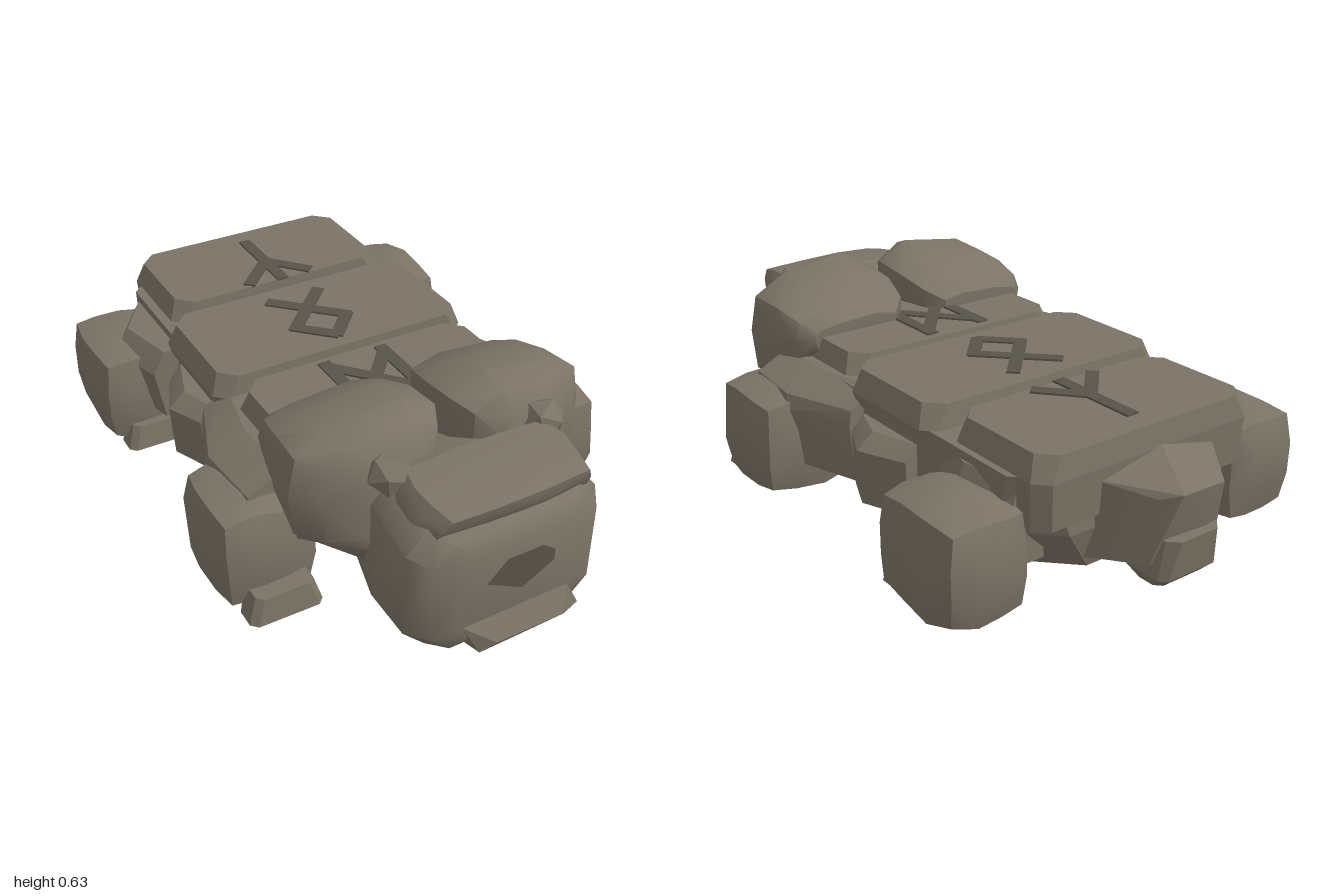
import * as THREE from 'three';
import { ConvexGeometry } from 'three/addons/geometries/ConvexGeometry.js';
import { toCreasedNormals } from 'three/addons/utils/BufferGeometryUtils.js';

export function createModel() {
  const root = new THREE.Group();
  root.name = 'stoneBeast';
  const stone = new THREE.MeshStandardMaterial({ color: 0x7b7366 });
  stone.name = 'stone';
  const carving = new THREE.MeshStandardMaterial({ color: 0x58544a });
  carving.name = 'darkCarving';
  const V = (x, y, z) => new THREE.Vector3(x, y, z);

  let seed = 7;
  const rand = () => ((seed = (seed * 16807) % 2147483647) / 2147483647) - 0.5;

  const add = (name, geometry, material = stone) => {
    const mesh = new THREE.Mesh(geometry, material);
    mesh.name = name;
    root.add(mesh);
    return mesh;
  };
  const hull = (name, points, crease = 0.3) =>
    add(name, toCreasedNormals(new ConvexGeometry(points), crease));

  // Octagonal section with cut corners, level at height y
  const level = (y, x0, x1, z0, z1, c) => [
    [x0 + c, z0], [x1 - c, z0], [x1, z0 + c], [x1, z1 - c],
    [x1 - c, z1], [x0 + c, z1], [x0, z1 - c], [x0, z0 + c],
  ].map(([x, z]) => V(x, y, z));
  // The same section, upright at depth z
  const upright = (z, x0, x1, y0, y1, c) =>
    level(0, x0, x1, y0, y1, c).map((p) => V(p.x, p.z, z));

  // Worn boulder filling the box from min to max; power sets how square it is
  function boulder(name, min, max, { power, jitter, rx = 0, crease = 0.55 }) {
    const pos = new THREE.BoxGeometry(2, 2, 2, 3, 3, 3).attributes.position;
    const turn = new THREE.Euler(rx, 0, 0);
    const unique = new Map();
    for (let i = 0; i < pos.count; i++) {
      const p = V(0, 0, 0).fromBufferAttribute(pos, i);
      const key = p.toArray().map((n) => n.toFixed(2)).join();
      if (unique.has(key)) continue;
      const n = (Math.abs(p.x) ** power + Math.abs(p.y) ** power + Math.abs(p.z) ** power) ** (1 / power);
      p.divideScalar(n).add(V(rand(), rand(), rand()).multiplyScalar(jitter)).applyEuler(turn);
      unique.set(key, p);
    }
    const points = [...unique.values()];
    const box = new THREE.Box3().setFromPoints(points);
    const size = box.getSize(V(0, 0, 0));
    const lo = V(...min), span = V(...max).sub(lo);
    points.forEach((p) => p.sub(box.min).divide(size).multiply(span).add(lo));
    return hull(name, points, crease);
  }

  // Trunk
  hull('body', [
    ...level(0.08, -0.38, 0.38, -0.76, 0.5, 0.2),
    ...level(0.22, -0.42, 0.42, -0.8, 0.64, 0.14),
    ...level(0.4, -0.41, 0.42, -0.79, 0.66, 0.08),
  ]);

  // Back plates: x0, x1, z0, z1, underside
  [
    ['rearPlate', -0.37, 0.39, -0.82, -0.43, 0.26],
    ['middlePlate', -0.43, 0.43, -0.39, 0.035, 0.36],
    ['frontPlate', -0.39, 0.39, 0.06, 0.46, 0.36],
  ].forEach(([name, x0, x1, z0, z1, y]) => hull(name, [
    ...level(y, x0, x1, z0 + 0.01, z1 - 0.01, 0.04),
    ...level(0.4, x0 - 0.01, x1 + 0.01, z0, z1, 0.04),
    ...level(0.47, x0 + 0.015, x1 - 0.015, z0 + 0.01, z1 - 0.005, 0.05),
  ], 0.2));

  // Runes: strokes as x, z start and end
  const runes = {
    rearRune: [[0.015, -0.73, 0.015, -0.44], [0.015, -0.57, -0.1, -0.45], [0.015, -0.57, 0.12, -0.45]],
    middleRune: [[-0.1, -0.31, 0.09, -0.12], [0.08, -0.31, -0.1, -0.12], [-0.1, -0.13, 0, -0.03], [0.09, -0.13, 0, -0.03]],
    frontRune: [[-0.115, 0.1, -0.115, 0.38], [0.08, 0.1, 0.08, 0.38], [-0.115, 0.12, 0.08, 0.35], [0.08, 0.12, -0.115, 0.35]],
  };
  for (const [name, strokes] of Object.entries(runes)) {
    strokes.forEach(([x0, z0, x1, z1]) => {
      const length = Math.hypot(x1 - x0, z1 - z0);
      const stroke = add(name, new THREE.BoxGeometry(0.04, 0.008, length + 0.015), carving);
      stroke.position.set((x0 + x1) / 2, 0.472, (z0 + z1) / 2);
      stroke.rotation.y = Math.atan2(x1 - x0, z1 - z0);
    });
  }

  // Shoulder boulder section: across from inner to outer edge, up from bottom to top
  const shoulderSection = [[0, 0.35], [0, 0.87], [0.24, 1], [0.72, 0.93],
    [0.95, 0.8], [1, 0.55], [0.97, 0.25], [0.65, 0], [0.2, 0.02]];

  for (const s of [-1, 1]) {
    const side = s > 0 ? 'left' : 'right';
    // Box corners given on the +x side, mirrored for the other
    const pair = (part, [x0, y0, z0], [x1, y1, z1], opt) => boulder(side + part,
      [s > 0 ? x0 : -x1, y0, z0], [s > 0 ? x1 : -x0, y1, z1], opt);

    // Legs and toes
    pair('FrontLeg', [0.335, 0, 0.16], [0.65, 0.35, 0.505], { power: 5, jitter: 0.08 });
    pair('RearLeg', [0.365, 0, -0.79], [0.65, 0.345, -0.4], { power: 5, jitter: 0.08 });
    for (const [name, z] of [['FrontToe', 0.56], ['RearToe', -0.37]]) {
      hull(side + name, [
        ...level(0.005, s * 0.48 - 0.115, s * 0.48 + 0.115, z - 0.1, z, 0.02),
        ...level(0.09, s * 0.48 - 0.09, s * 0.48 + 0.09, z - 0.12, z - 0.01, 0.02),
      ]);
    }

    // Flank stones: plan outline raised through rings of height and outward scale
    const flankStone = (part, outline, rings) => hull(side + part, rings.flatMap(
      ([y, k]) => outline.map(([x, z]) => V(s * (0.3 + (x - 0.3) * k), y, z))));
    flankStone('ShoulderStone',
      [[0.3, -0.02], [0.47, -0.03], [0.56, 0.2], [0.54, 0.42], [0.3, 0.42]],
      [[0.12, 0.9], [0.3, 1], [0.35, 0.95], [0.405, 0.5]]);
    flankStone('FlankStone',
      [[0.3, -0.31], [0.46, -0.31], [0.525, -0.16], [0.47, -0.04], [0.3, -0.04]],
      [[0.12, 0.95], [0.29, 1], [0.335, 0.75]]);
    const hip = s > 0 ? 0.46 : 0.56;
    flankStone('HipStone',
      [[0.3, -0.72], [0.41, -0.72], [hip, -0.54], [hip - 0.06, -0.34], [0.3, -0.34]],
      [[0.13, 0.85], [0.3, 1], [0.375, 0.8]]);

    // Great shoulder boulders, deepest at the front: z, inner x, outer x, bottom, top
    hull(side + 'ShoulderBoulder', [
      [0.275, 0.1, 0.4, 0.41, 0.51],
      [0.32, 0.05, 0.445, 0.35, 0.555],
      [0.43, 0.025, 0.465, 0.27, 0.605],
      [0.56, 0.025, 0.475, 0.19, 0.635],
      [0.63, 0.06, 0.41, 0.19, 0.61],
      [0.685, 0.11, 0.31, 0.23, 0.54],
    ].flatMap(([z, a, b, y0, y1]) => shoulderSection.map(
      ([u, v]) => V(s * (a + (b - a) * u), y0 + (y1 - y0) * v, z))), 0.7);

    // Eye knobs beside the brow
    const knob = add(side + 'EyeKnob', new THREE.IcosahedronGeometry(0.064, 0));
    knob.position.set(s * 0.247, 0.515, 0.69);
    knob.rotation.set(0.3, s * 0.5, 0.2);
  }

  // Head
  hull('head', [
    ...upright(0.48, -0.25, 0.25, 0.1, 0.42, 0.06),
    ...upright(0.7, -0.3, 0.28, 0.05, 0.5, 0.07),
    ...upright(0.88, -0.31, 0.29, 0.065, 0.47, 0.07),
    ...upright(0.94, -0.26, 0.25, 0.08, 0.44, 0.06),
    ...upright(0.965, -0.2, 0.19, 0.12, 0.39, 0.05),
    V(0, 0.035, 0.72),
  ], 0.8);
  boulder('brow', [-0.265, 0.4, 0.65], [0.27, 0.537, 0.94], { power: 6, jitter: 0.06, rx: 0.25, crease: 0.5 });
  hull('jaw', [
    [-0.16, 0.06, 0.86], [0.24, 0.06, 0.86], [-0.2, 0.165, 0.9], [0.16, 0.17, 0.9],
    [-0.13, 0.065, 0.98], [0.22, 0.06, 0.95], [-0.18, 0.165, 0.965], [0.16, 0.17, 0.965],
    [-0.09, 0.1, 1], [0.13, 0.1, 1],
  ].map((p) => V(...p)));

  // Face mark
  const mark = new THREE.Shape([[-0.11, 0.29], [0, 0.23], [0.1, 0.285], [0.1, 0.32], [0.06, 0.35], [-0.05, 0.35]]
    .map(([x, y]) => new THREE.Vector2(x, y)));
  add('faceMark', new THREE.ExtrudeGeometry(mark, { depth: 0.008, bevelEnabled: false }), carving).position.z = 0.96;

  // Tail stone and its tip
  hull('tail', [
    [-0.24, 0.12, -0.76], [0.21, 0.12, -0.76], [-0.23, 0.36, -0.8], [0.2, 0.36, -0.8],
    [-0.02, 0.41, -0.81], [-0.1, 0.15, -0.95], [0.12, 0.14, -0.93],
    [-0.09, 0.34, -0.98], [0.12, 0.34, -0.95], [0.08, 0.36, -1],
  ].map((p) => V(...p)));
  hull('tailTip', [
    ...level(0.065, -0.08, 0.09, -0.94, -0.85, 0.02),
    ...level(0.1, -0.1, 0.11, -0.975, -0.82, 0.02),
    ...level(0.22, -0.09, 0.1, -0.995, -0.82, 0.03),
  ]);

  return root;
}
